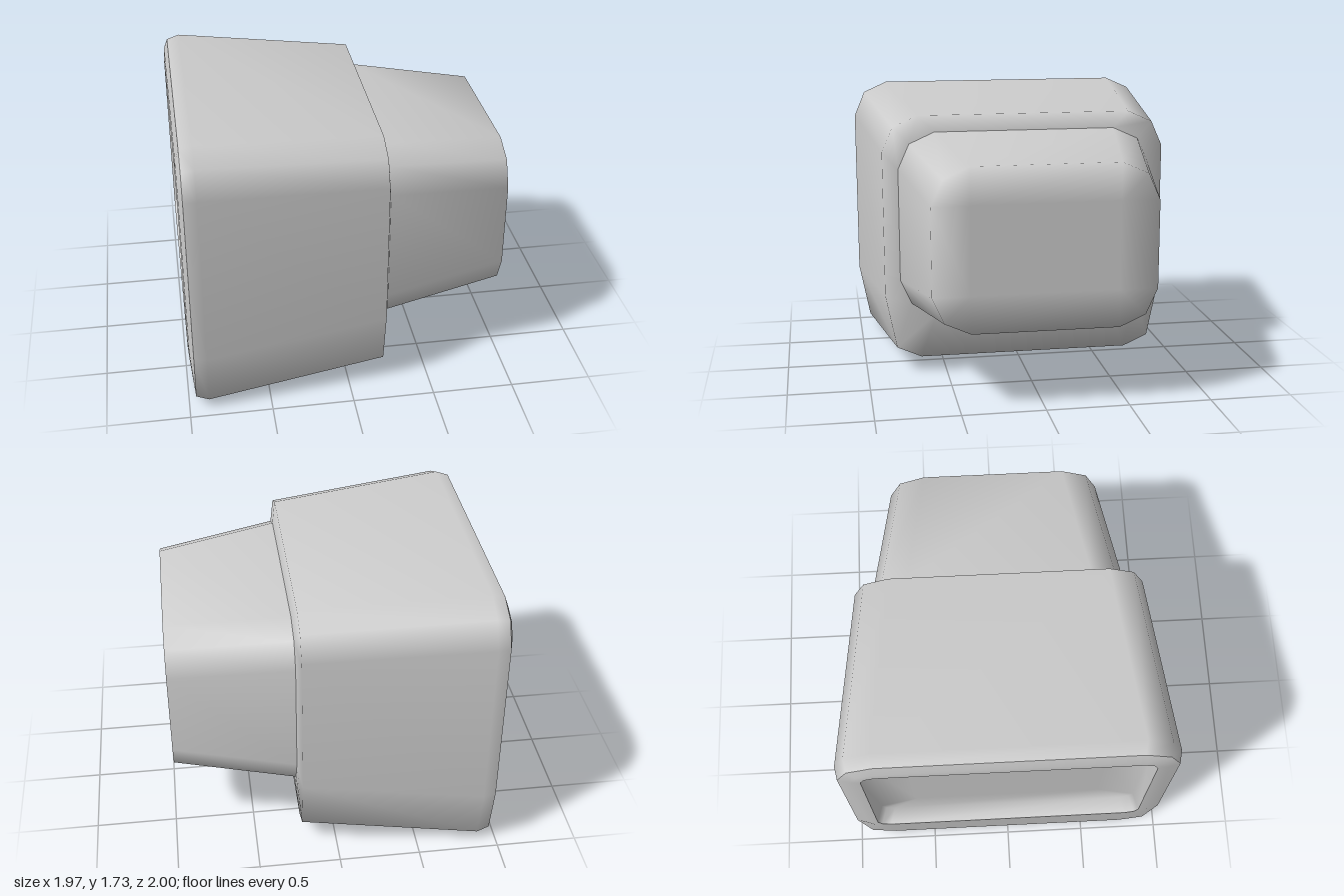
import * as THREE from 'three';

// Rounded-rectangle cross-section at x: half width hz, height y0..y1,
// corner cut a (in z), top (in y) and bottom (in y). Counterclockwise from +x.
function ring(x, hz, y0, y1, a, top = a, bottom = a) {
  const m = 0.31 * a;
  const upper = [[hz - a, y1], [hz - m, y1 - m], [hz, y1 - top]];
  const lower = [[hz, y0 + bottom], [hz - m, y0 + m], [hz - a, y0]];
  const half = [...upper, ...lower];
  const other = half.map(([z, y]) => [-z, y]).reverse();
  return [...half, ...other].map(([z, y]) => [x, y, z]);
}

// Skin a row of cross-sections with smooth normals
function loft(name, rings) {
  const n = rings[0].length;
  const index = [];
  for (let i = 0; i < rings.length - 1; i++) {
    for (let j = 0; j < n; j++) {
      const k = (j + 1) % n;
      const a = i * n + j, b = i * n + k, c = b + n, d = a + n;
      index.push(a, b, c, a, c, d);
    }
  }
  const geometry = new THREE.BufferGeometry();
  geometry.setAttribute('position', new THREE.Float32BufferAttribute(rings.flat(2), 3));
  geometry.setIndex(index);
  geometry.computeVertexNormals();
  const mesh = new THREE.Mesh(geometry, new THREE.MeshStandardMaterial({ color: 0xcccccc }));
  mesh.name = name;
  return mesh;
}

export function createModel() {
  const model = new THREE.Group();
  model.name = 'monitor';

  const outerEdge = ring(-0.957, 0.985, 0.02, 1.71, 0.22, 0.22, 0.4);
  const opening = ring(-0.985, 0.85, 0.37, 1.59, 0.08);
  const neck = ring(0.24, 0.785, 0.39, 1.54, 0.225);

  // Screen set back behind a sloping lip
  model.add(loft('screen', [
    ring(-0.885, 0, 0.98, 0.98, 0),
    ring(-0.885, 0.58, 0.64, 1.32, 0),
    ring(-0.885, 0.82, 0.4, 1.56, 0.08),
    opening,
  ]));

  // Frame round the screen, deeper along the bottom
  model.add(loft('bezel', [
    opening,
    ring(-0.98, 0.91, 0.3, 1.64, 0.13),
    outerEdge,
  ]));

  // Main casing, tapering to a rounded shoulder at the rear
  model.add(loft('casing', [
    outerEdge,
    ring(-0.88, 1, 0, 1.73, 0.22, 0.23, 0.42),
    ring(0.215, 0.88, 0.1, 1.64, 0.22, 0.22, 0.41),
    neck,
  ]));

  // Narrower housing behind the casing, closed by a flat end
  model.add(loft('rearHousing', [
    neck,
    ring(0.98, 0.66, 0.48, 1.455, 0.225),
    ring(0.98, 0.435, 0.705, 1.23, 0),
    ring(0.98, 0, 0.97, 0.97, 0),
  ]));

  return model;
}
